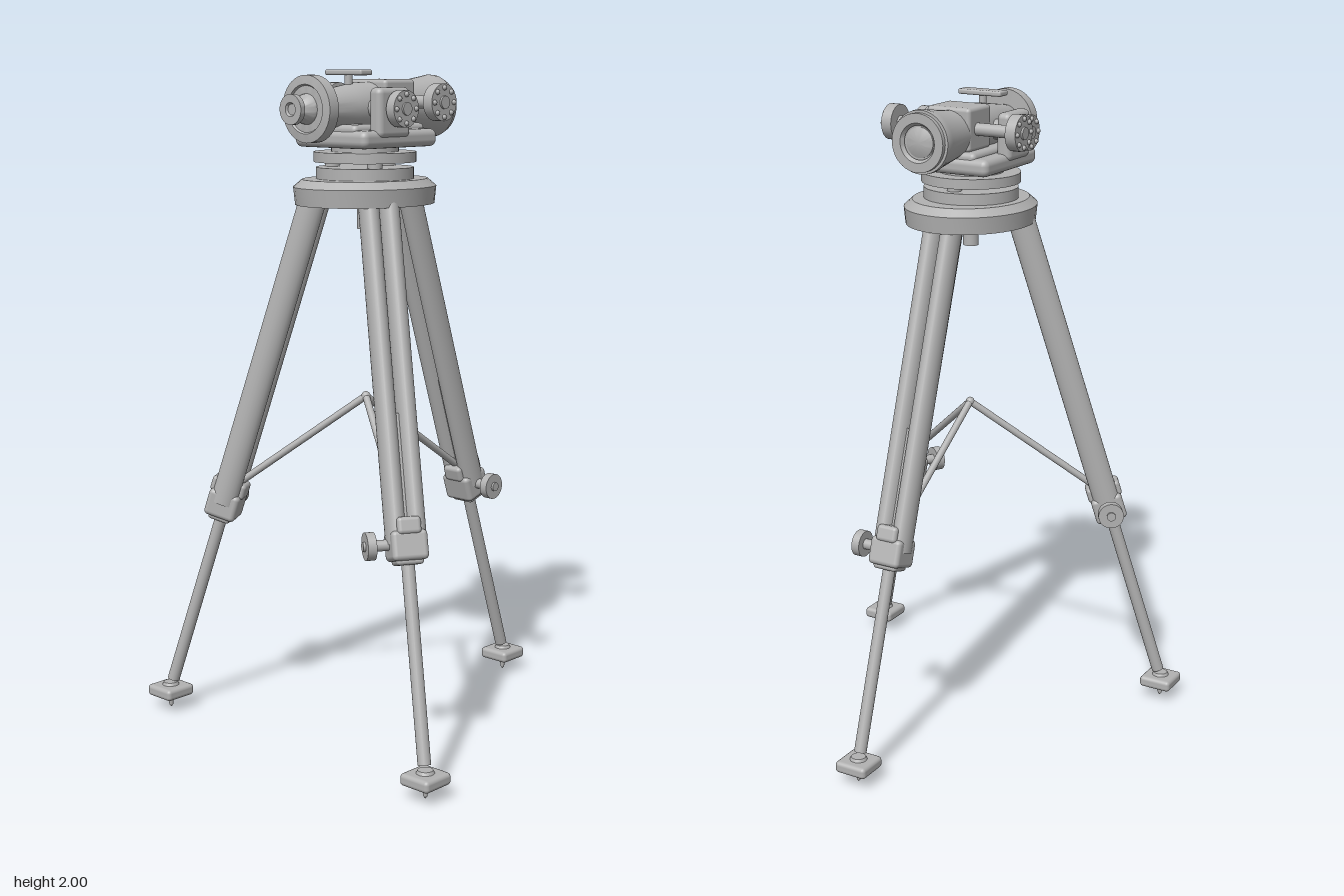
import * as THREE from 'three';
import { toCreasedNormals } from 'three/addons/utils/BufferGeometryUtils.js';
import { RoundedBoxGeometry } from 'three/addons/geometries/RoundedBoxGeometry.js';

const metal = new THREE.MeshStandardMaterial({ color: 0xb2b2b2 });
metal.name = 'satin grey metal';

const CENTRE_Z = 0.16; // vertical axis of the tripod
const AXIS_Y = 1.89;   // sight line of the telescope

function add(parent, name, geometry, x = 0, y = 0, z = 0) {
  const mesh = new THREE.Mesh(geometry, metal);
  mesh.name = name;
  mesh.position.set(x, y, z);
  parent.add(mesh);
  return mesh;
}

const box = (w, h, d, r = 0.01) => new RoundedBoxGeometry(w, h, d, 3, r);
const cyl = (r, h, top = r, n = 32) => new THREE.CylinderGeometry(top, r, h, n);
const cylX = (r, h) => cyl(r, h).rotateZ(Math.PI / 2);

// Turned part with crisp edges; the profile is [radius, height] from bottom to top
function turned(profile) {
  const points = profile.map(([r, y]) => new THREE.Vector2(r, y));
  return toCreasedNormals(new THREE.LatheGeometry(points, 40), 0.5);
}

// Round bar between two points
function bar(parent, name, a, b, r) {
  const dir = b.clone().sub(a);
  const mesh = add(parent, name, cyl(r, dir.length(), r, 16));
  mesh.position.copy(a).add(b).multiplyScalar(0.5);
  mesh.quaternion.setFromUnitVectors(new THREE.Vector3(0, 1, 0), dir.normalize());
}

// Leg pointing outward along its local -z, with clamp, brace and foot
function makeLeg(root, name, footX, footZ, topR) {
  const leg = new THREE.Group();
  leg.name = name;
  leg.position.z = CENTRE_Z;
  const dz = footZ - CENTRE_Z;
  leg.rotation.y = Math.atan2(-footX, -dz);
  root.add(leg);

  const footR = Math.hypot(footX, dz) - 0.01;
  const length = Math.hypot(1.515, footR - topR);
  const limb = new THREE.Group();
  limb.name = 'slopingLimb';
  limb.position.set(0, 1.61, -topR);
  limb.rotation.x = Math.atan2(footR - topR, 1.515);
  leg.add(limb);

  for (const s of [-1, 1]) {
    add(limb, 'upperTube', cyl(0.0295, 0.99, 0.0295, 24).scale(1, 1, 1.4), s * 0.03, -0.475, 0);
  }
  add(limb, 'slidingTube', cyl(0.019, length - 0.6, 0.019, 20), 0, -(length + 0.6) / 2, 0);

  // Clamp with its tightening knob
  add(limb, 'clampBlock', box(0.106, 0.085, 0.1, 0.014), 0, -0.975, 0);
  add(limb, 'clampCollar', box(0.07, 0.05, 0.11, 0.012), 0, -0.92, 0);
  add(limb, 'clampLip', box(0.08, 0.03, 0.07, 0.01), 0, -1.015, 0);
  add(limb, 'knobStem', cylX(0.016, 0.06), 0.075, -0.97, 0);
  add(limb, 'clampKnob', cylX(0.04, 0.026), 0.108, -0.97, 0);
  add(limb, 'knobCap', cylX(0.014, 0.008), 0.124, -0.97, 0);

  bar(leg, 'braceRod', new THREE.Vector3(0, 1.03, 0),
    new THREE.Vector3(0, 0.735, -footR + 0.215), 0.011);

  // Square foot and ground spike
  add(root, 'footPad', box(0.106, 0.036, 0.106, 0.012), footX, 0.058, footZ);
  add(root, 'footBoss', cyl(0.028, 0.012, 0.022), footX, 0.079, footZ);
  add(root, 'footSpike', turned([[0, 0], [0.006, 0.008], [0.008, 0.027], [0.018, 0.03], [0.018, 0.045]]), footX, 0, footZ);
}

function makeBase(root) {
  const platform = turned([[0, 1.61], [0.222, 1.61], [0.228, 1.662], [0.2, 1.684], [0, 1.684]]);
  add(root, 'tripodHead', platform.scale(0.86, 1, 1), 0, 0, CENTRE_Z);
  add(root, 'centreScrew', cyl(0.024, 0.09), 0, 1.58, CENTRE_Z);
  add(root, 'braceHub', new THREE.SphereGeometry(0.014, 16, 12), 0, 1.03, CENTRE_Z);

  add(root, 'lowerPlate', cyl(0.145, 0.034), 0, 1.701, CENTRE_Z);
  for (let i = 0; i < 3; i++) {
    const a = i * Math.PI * 2 / 3 + Math.PI / 2;
    add(root, 'levellingScrew', cyl(0.022, 0.03), Math.cos(a) * 0.1, 1.725, CENTRE_Z - Math.sin(a) * 0.1);
  }
  add(root, 'upperPlate', cyl(0.152, 0.03), 0, 1.748, CENTRE_Z);
  add(root, 'pivot', cyl(0.1, 0.03), 0, 1.77, CENTRE_Z);
  add(root, 'instrumentBase', box(0.29, 0.052, 0.316, 0.02), 0, 1.803, 0.155);
  add(root, 'baseDeck', box(0.2, 0.04, 0.3, 0.015), 0, 1.825, 0.155);
}

// Yoke arm and adjusting knobs on one side
function makeSide(root, s) {
  const side = new THREE.Group();
  side.name = s > 0 ? 'leftControls' : 'rightControls';
  root.add(side);
  add(side, 'yokeArm', box(0.048, 0.145, 0.134, 0.018), s * 0.128, 1.878, 0.19);
  add(side, 'yokePivot', cylX(0.03, 0.1), s * 0.07, AXIS_Y, 0.19);

  for (const [name, x, y, z, r, w] of [
    ['yokeKnob', 0.175, AXIS_Y, 0.187, 0.053, 0.03],
    ['focusKnob', 0.212, 1.907, 0.068, 0.054, 0.034],
  ]) {
    add(side, name, cylX(r, w), s * x, y, z);
    add(side, name + 'Hub', cylX(r * 0.35, 0.008), s * (x + w / 2 + 0.002), y, z);
    for (let i = 0; i < 8; i++) {
      const a = i * Math.PI / 4;
      add(side, name + 'Stud', new THREE.SphereGeometry(0.008, 10, 8),
        s * (x + w / 2), y + Math.sin(a) * r * 0.78, z + Math.cos(a) * r * 0.78);
    }
  }
  add(side, 'focusStem', cylX(0.019, 0.15), s * 0.13, 1.907, 0.068);
  add(side, 'yokeStem', cylX(0.03, 0.03), s * 0.152, AXIS_Y, 0.187);
}

function makeTelescope(root) {
  const scope = new THREE.Group();
  scope.name = 'telescope';
  scope.position.y = AXIS_Y;
  root.add(scope);
  const along = (name, profile) => add(scope, name, turned(profile).rotateX(Math.PI / 2));

  // Main barrel, widening toward the objective at the back
  along('barrel', [[0, -0.135], [0.093, -0.135], [0.094, -0.12], [0.09, -0.1], [0.074, 0.015],
    [0.074, 0.2], [0.066, 0.25], [0.048, 0.365], [0, 0.365]]);
  along('objectiveRing', [[0.05, -0.14], [0.058, -0.152], [0.086, -0.152], [0.086, -0.138], [0.07, -0.13]]);
  along('objectiveLens', [[0, -0.148], [0.025, -0.146], [0.045, -0.138], [0.045, -0.13]]);

  // Eyepiece
  along('eyepieceFlange', [[0, 0.366], [0.096, 0.366], [0.096, 0.402], [0.07, 0.406], [0.066, 0.4], [0, 0.4]]);
  along('eyepieceCone', [[0.045, 0.395], [0.042, 0.408], [0.022, 0.432], [0, 0.432]]);
  along('eyepieceDisc', [[0, 0.447], [0.043, 0.447], [0.043, 0.464], [0.02, 0.464], [0.016, 0.457], [0, 0.457]]);

  // Prism housing and sight bar
  add(scope, 'prismHousing', box(0.148, 0.13, 0.13, 0.012), 0, 0.017, 0.085);
  add(scope, 'sightPost', cyl(0.012, 0.06), 0, 0.07, 0.228);
  add(scope, 'sightBar', box(0.148, 0.016, 0.05, 0.006), 0, 0.102, 0.228);
}

export function createModel() {
  const root = new THREE.Group();
  root.name = 'surveyInstrumentOnTripod';
  makeLeg(root, 'backLeg', 0, -0.505, 0.168);
  makeLeg(root, 'frontLeftLeg', 0.543, 0.495, 0.155);
  makeLeg(root, 'frontRightLeg', -0.543, 0.495, 0.155);
  makeBase(root);
  for (const s of [-1, 1]) makeSide(root, s);
  makeTelescope(root);
  return root;
}
